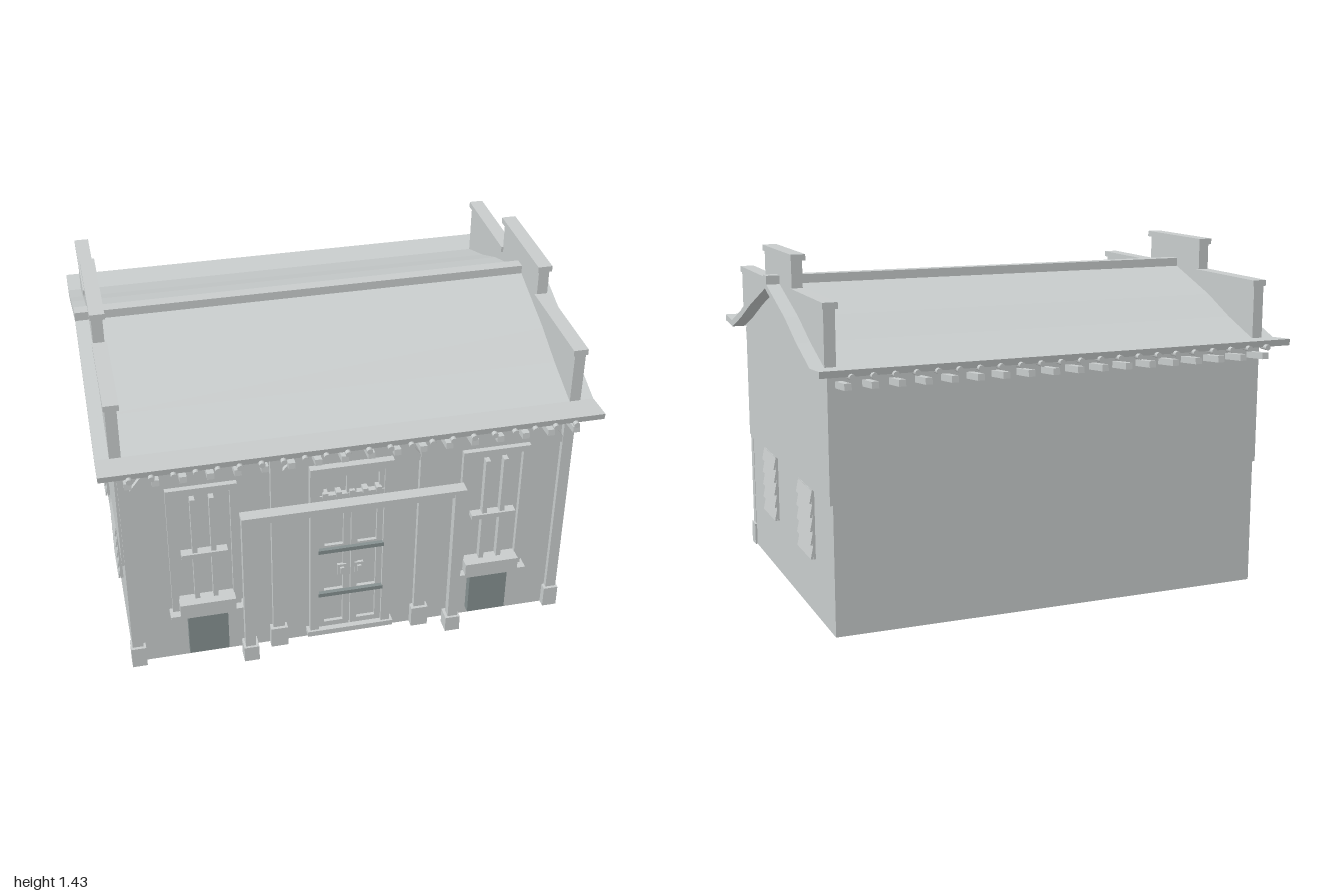
import * as THREE from 'three';

const plaster = new THREE.MeshStandardMaterial({ name: 'pale plaster', color: 0xc8cccc });
const slate = new THREE.MeshStandardMaterial({ name: 'slate grey', color: 0x859090 });

export function createModel() {
  const model = new THREE.Group();
  model.name = 'house';

  const add = (name, geometry, material = plaster) => {
    const mesh = new THREE.Mesh(geometry, material);
    mesh.name = name;
    model.add(mesh);
    return mesh;
  };
  // Box given by its minimum and maximum on each axis
  const box = (name, x0, x1, y0, y1, z0, z1, material) => {
    const mesh = add(name, new THREE.BoxGeometry(x1 - x0, y1 - y0, z1 - z0), material);
    mesh.position.set((x0 + x1) / 2, (y0 + y1) / 2, (z0 + z1) / 2);
    return mesh;
  };
  // Same box on both sides of the house
  const pair = (name, x0, x1, y0, y1, z0, z1, material) => {
    box(name, x0, x1, y0, y1, z0, z1, material);
    box(name, -x1, -x0, y0, y1, z0, z1, material);
  };
  // Half profile of [z, y] points, mirrored in z and extruded along x
  const extrudeX = (name, half, width, x = 0) => {
    const points = [...half, ...half.slice().reverse().map(([z, y]) => [-z, y])];
    const shape = new THREE.Shape(points.map(([z, y]) => new THREE.Vector2(z, y)));
    const geo = new THREE.ExtrudeGeometry(shape, { depth: width, bevelEnabled: false });
    geo.translate(0, 0, -width / 2).rotateY(Math.PI / 2);
    add(name, geo).position.x = x;
  };

  // Walls, the upper part standing slightly proud at the gable ends
  box('lowerWalls', -0.923, 0.923, 0, 0.53, -0.67, 0.67);
  extrudeX('upperWalls', [[0.67, 0.525], [0.67, 1.035], [0.3, 1.185], [0.001, 1.285]], 1.87);

  // Curved roof with flared eaves and a ridge cap
  extrudeX('roof', [
    [0.001, 1.278], [0.29, 1.173], [0.48, 1.094], [0.66, 1.03], [0.795, 1.04],
    [0.8, 1.067], [0.67, 1.057], [0.48, 1.125], [0.31, 1.2], [0.001, 1.304],
  ], 2);
  box('ridgeCap', -1, 1, 1.28, 1.332, -0.025, 0.025);

  // Stepped parapets with coping slabs
  for (const s of [-1, 1]) {
    extrudeX('parapet', [[0.672, 1.035], [0.672, 1.28], [0.22, 1.28], [0.22, 1.415]], 0.045, s * 0.922);
    box('upperCoping', s * 0.92 - 0.03, s * 0.92 + 0.03, 1.41, 1.435, -0.235, 0.235);
    for (const d of [-1, 1]) {
      box('lowerCoping', s * 0.92 - 0.03, s * 0.92 + 0.03, 1.275, 1.3, d * 0.448 - 0.232, d * 0.448 + 0.232);
    }
  }

  // Rafter ends and round tile ends along both eaves
  for (const d of [-1, 1]) {
    for (let i = 0; i < 18; i++) {
      const rafter = add('rafter', new THREE.BoxGeometry(0.028, 0.026, 0.13));
      rafter.position.set(-0.89 + i * 0.1047, 0.995, d * 0.725);
      rafter.rotation.x = d * -0.1;
    }
    for (let i = 0; i < 22; i++) {
      const tile = add('tileEnd', new THREE.CylinderGeometry(0.012, 0.012, 0.045, 10));
      tile.position.set(-0.885 + i * 0.084, 1.04, d * 0.793);
      tile.rotation.x = Math.PI / 2;
    }
  }

  // Front beam and posts
  box('frontBeam', -0.932, 0.932, 0.98, 1.02, 0.66, 0.688);
  pair('cornerPost', 0.88, 0.925, 0.1, 0.99, 0.65, 0.693);
  pair('cornerPostBase', 0.87, 0.932, 0, 0.097, 0.642, 0.703);
  pair('innerPost', 0.282, 0.33, 0.1, 1.0, 0.66, 0.695);
  pair('innerPostBase', 0.27, 0.342, 0, 0.097, 0.65, 0.705);

  // Diagonal braces beside the posts
  for (const s of [-1, 1]) {
    for (const x of [0.844, 0.246]) {
      const brace = add('brace', new THREE.BoxGeometry(0.022, 0.135, 0.018));
      brace.position.set(s * x, 0.932, 0.679);
      brace.rotation.z = s * 0.65;
    }
  }

  // Free-standing porch frame
  pair('porchPost', 0.417, 0.46, 0.07, 0.735, 0.72, 0.757);
  pair('porchPostBase', 0.405, 0.468, 0, 0.073, 0.705, 0.768);
  box('porchBeam', -0.425, 0.425, 0.708, 0.735, 0.722, 0.752);
  box('porchSlab', -0.462, 0.462, 0.733, 0.75, 0.712, 0.765);

  // Door frame, threshold and transom
  pair('doorJamb', 0.135, 0.172, 0.05, 0.895, 0.66, 0.7);
  box('doorHeader', -0.172, 0.172, 0.865, 0.9, 0.66, 0.702);
  box('threshold', -0.185, 0.185, 0.03, 0.055, 0.66, 0.71);
  box('transomRail', -0.135, 0.135, 0.7, 0.76, 0.66, 0.695);
  pair('transomSide', 0.115, 0.135, 0.76, 0.85, 0.66, 0.69);
  box('transomMullion', -0.02, 0.02, 0.76, 0.85, 0.66, 0.69);
  box('transomTop', -0.135, 0.135, 0.845, 0.868, 0.66, 0.69);
  for (let i = 0; i < 5; i++) {
    const x = -0.11 + i * 0.055;
    box('dentil', x - 0.011, x + 0.011, 0.755, 0.778, 0.67, 0.705);
  }

  // Paired door leaves with stiles, rails and handles
  pair('doorOuterStile', 0.11, 0.135, 0.055, 0.7, 0.66, 0.685);
  pair('doorInnerStile', 0.003, 0.03, 0.055, 0.7, 0.66, 0.685);
  for (const y of [0.055, 0.23, 0.47, 0.67]) {
    pair('doorRail', 0.03, 0.11, y, y + 0.025, 0.66, 0.685);
  }
  pair('handlePlate', 0.018, 0.055, 0.335, 0.39, 0.68, 0.692);
  pair('handle', 0.028, 0.045, 0.348, 0.378, 0.69, 0.702);
  for (const y of [0.235, 0.467]) box('doorBar', -0.138, 0.138, y, y + 0.018, 0.685, 0.702, slate);
  box('doorTopBar', -0.138, 0.138, 0.694, 0.704, 0.685, 0.702, slate);

  // Front windows with bars, planter box and panel below
  for (const c of [-0.605, 0.605]) {
    for (const s of [-1, 1]) {
      const side = c + s * 0.127;
      box('windowJamb', side - 0.015, side + 0.015, 0.26, 0.88, 0.66, 0.693);
      const bar = c + s * 0.038;
      box('windowBar', bar - 0.01, bar + 0.01, 0.32, 0.83, 0.66, 0.7);
    }
    box('windowHeader', c - 0.142, c + 0.142, 0.853, 0.88, 0.66, 0.693);
    box('windowCrossbar', c - 0.094, c + 0.094, 0.543, 0.565, 0.665, 0.709);
    box('windowSill', c - 0.155, c + 0.155, 0.248, 0.264, 0.66, 0.727);
    box('planter', c - 0.115, c + 0.115, 0.272, 0.326, 0.66, 0.736);
    box('panelBelowWindow', c - 0.083, c + 0.083, 0.035, 0.248, 0.66, 0.706, slate);
  }

  // Louvred shutters on the gable walls
  for (const s of [-1, 1]) {
    for (const z of [-0.295, 0.295]) {
      box('shutterBack', s * 0.925 - 0.008, s * 0.925 + 0.008, 0.235, 0.52, z - 0.105, z + 0.105);
      for (let i = 0; i < 5; i++) {
        const slat = add('shutterSlat', new THREE.BoxGeometry(0.008, 0.057, 0.21));
        slat.position.set(s * 0.934, 0.264 + i * 0.057, z);
        slat.rotation.z = s * 0.2;
      }
    }
  }
  return model;
}
